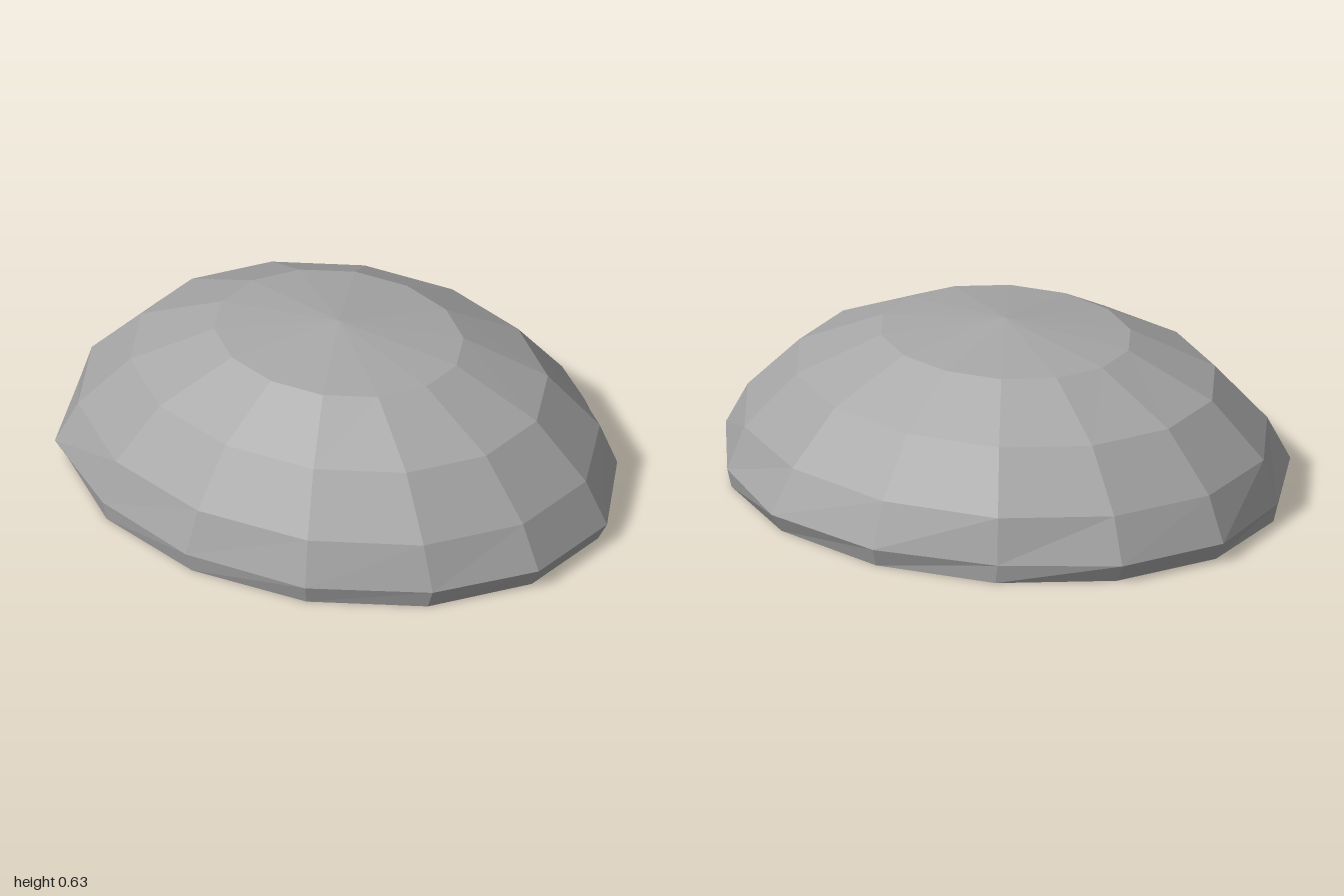
import * as THREE from 'three';

const SIDES = 14;

// Elliptical ring of points around the boulder's axis
function ring(y, rx, rz, cx = -0.015) {
  return Array.from({ length: SIDES }, (_, i) => {
    const a = (i / SIDES) * Math.PI * 2;
    return [cx + rx * Math.cos(a), y, rz * Math.sin(a)];
  });
}

// Slightly irregular widest outline, as x, z pairs
const rim = [
  [1, 0], [0.9, 0.345], [0.62, 0.61], [0.21, 0.77], [-0.245, 0.762], [-0.63, 0.608], [-0.93, 0.35],
  [-1, -0.005], [-0.92, -0.35], [-0.645, -0.625], [-0.235, -0.755], [0.21, -0.775], [0.625, -0.63], [0.88, -0.345],
].map(([x, z]) => [x, 0.07, z]);

export function createModel() {
  const stone = new THREE.MeshStandardMaterial({ color: 0xa6a6a6, flatShading: true });
  stone.name = 'grey stone';

  const rings = [
    ring(0, 0.975, 0.77, -0.01),
    rim,
    ring(0.23, 0.935, 0.73),
    ring(0.43, 0.748, 0.588),
    ring(0.575, 0.445, 0.357),
  ];
  const base = [0, 0, 0];
  const apex = [-0.015, 0.63, 0];
  const top = rings[rings.length - 1];

  const positions = [];
  const tri = (a, b, c) => positions.push(...a, ...b, ...c);
  for (let i = 0; i < SIDES; i++) {
    const j = (i + 1) % SIDES;
    // flat underside and shallow crown
    tri(base, rings[0][i], rings[0][j]);
    tri(apex, top[j], top[i]);
    // faceted side bands
    for (let k = 0; k < rings.length - 1; k++) {
      const low = rings[k], up = rings[k + 1];
      tri(low[i], up[i], low[j]);
      tri(low[j], up[i], up[j]);
    }
  }

  const geometry = new THREE.BufferGeometry();
  geometry.setAttribute('position', new THREE.Float32BufferAttribute(positions, 3));
  geometry.computeVertexNormals();

  const boulder = new THREE.Mesh(geometry, stone);
  boulder.name = 'boulder';
  const group = new THREE.Group();
  group.name = 'rock';
  group.add(boulder);
  return group;
}
